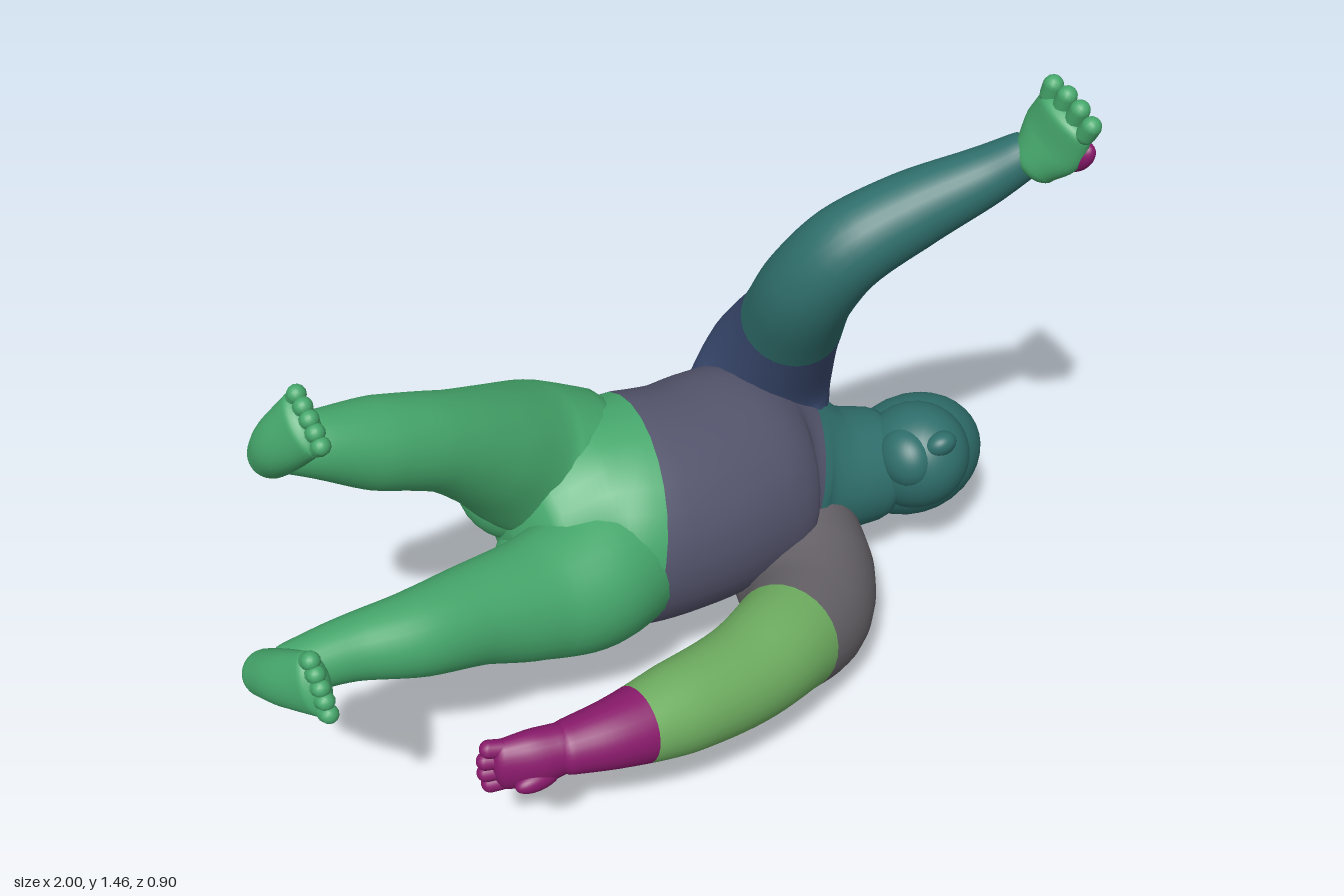
import * as THREE from 'three';

const V = (x, y, z) => new THREE.Vector3(x, y, z);
const material = (color) => new THREE.MeshStandardMaterial({ color, roughness: 0.8 });
const GREEN = material(0x46a86c), LIME = material(0x70b062), TEAL = material(0x2f6f6c), PURPLE = material(0x8a1a6c);
const SLATE = material(0x56566f), NAVY = material(0x3a4a70), TAUPE = material(0x68646a);
const ACROSS = V(0, 0.707, -0.707); // body's width direction

// Skin a run of elliptical stations [x, y, z, halfWidth, halfDepth] with rounded
// ends. bands = [[name, material, endFraction], ...] splits it into coloured parts.
function loft(group, stations, across, bands, capScale = 0.7) {
  const SEG = 28, STEP = 6, CAP = 5;
  const curve = new THREE.CatmullRomCurve3(stations.map((s) => V(s[0], s[1], s[2])));
  const sizes = new THREE.CatmullRomCurve3(stations.map((s) => V(s[3], s[4] ?? s[3], 0)));
  const n = (stations.length - 1) * STEP;
  const rings = [];
  const addRing = (t, scale, push) => {
    const tangent = curve.getTangent(t);
    const u = across.clone().addScaledVector(tangent, -across.dot(tangent)).normalize();
    const v = tangent.clone().cross(u);
    const { x: a, y: b } = sizes.getPoint(t);
    const c = curve.getPoint(t).addScaledVector(tangent, push * Math.min(a, b) * capScale);
    const ring = [];
    for (let j = 0; j < SEG; j++) {
      const q = j / SEG * Math.PI * 2;
      ring.push(c.clone().addScaledVector(u, a * scale * Math.cos(q)).addScaledVector(v, b * scale * Math.sin(q)));
    }
    rings.push(ring);
  };
  for (let i = 0; i < CAP; i++) { const q = i / CAP * Math.PI / 2; addRing(0, Math.sin(q) + 0.001, -Math.cos(q)); }
  for (let i = 0; i <= n; i++) addRing(i / n, 1, 0);
  for (let i = CAP - 1; i >= 0; i--) { const q = i / CAP * Math.PI / 2; addRing(1, Math.sin(q) + 0.001, Math.cos(q)); }

  let start = 0;
  for (const [name, mat, end] of bands) {
    const stop = end === 1 ? rings.length - 1 : CAP + Math.round(end * n);
    const pos = [], index = [];
    for (let i = start; i <= stop; i++) for (const p of rings[i]) pos.push(p.x, p.y, p.z);
    for (let i = 0; i < stop - start; i++) for (let j = 0; j < SEG; j++) {
      const a = i * SEG + j, b = i * SEG + (j + 1) % SEG;
      index.push(a, b, a + SEG, b, b + SEG, a + SEG);
    }
    const g = new THREE.BufferGeometry();
    g.setAttribute('position', new THREE.Float32BufferAttribute(pos, 3));
    g.setIndex(index);
    g.computeVertexNormals();
    const mesh = new THREE.Mesh(g, mat);
    mesh.name = name;
    group.add(mesh);
    start = stop;
  }
}

// Ellipsoid turned so its local y points out of the chest and z across the body
function blob(group, name, mat, p, radii) {
  const mesh = new THREE.Mesh(new THREE.SphereGeometry(1, 32, 20), mat);
  mesh.name = name;
  mesh.position.set(...p);
  mesh.scale.set(...radii);
  mesh.rotation.x = Math.PI / 4;
  group.add(mesh);
}

// A row of fingers or toes fanned across a direction
function digits(group, name, mat, base, dir, across, count, spread, r, len) {
  for (let i = 0; i < count; i++) {
    const k = i / (count - 1) * 2 - 1;
    const l = len * (1 - 0.25 * k * k);
    const mesh = new THREE.Mesh(new THREE.CapsuleGeometry(r, l, 5, 12), mat);
    const d = dir.clone().addScaledVector(across, k * 0.12).normalize();
    mesh.name = name + (i + 1);
    mesh.quaternion.setFromUnitVectors(V(0, 1, 0), d);
    mesh.position.copy(base).addScaledVector(across, k * spread).addScaledVector(d, l / 2);
    group.add(mesh);
  }
}

export function createModel() {
  const model = new THREE.Group();
  const part = (name) => { const g = new THREE.Group(); g.name = name; model.add(g); return g; };

  // Torso from pelvis to neck
  const body = part('body');
  loft(body, [
    [-0.2, 0.45, -0.17, 0.2, 0.18], [-0.1, 0.445, -0.17, 0.245, 0.225], [0.02, 0.42, -0.145, 0.27, 0.255],
    [0.16, 0.4, -0.135, 0.265, 0.25], [0.3, 0.38, -0.15, 0.265, 0.245], [0.42, 0.345, -0.165, 0.255, 0.215],
    [0.52, 0.315, -0.14, 0.2, 0.18], [0.6, 0.295, -0.11, 0.155, 0.155], [0.7, 0.28, -0.085, 0.14, 0.145],
  ], ACROSS, [['pelvis', GREEN, 0.22], ['torso', SLATE, 0.72], ['neck', TEAL, 1]], 0.4);
  blob(body, 'upperBack', SLATE, [0.42, 0.32, -0.2], [0.2, 0.175, 0.26]);
  blob(body, 'upperButtock', GREEN, [-0.13, 0.5, -0.29], [0.19, 0.16, 0.155]);
  blob(body, 'lowerButtock', GREEN, [-0.13, 0.335, -0.15], [0.19, 0.175, 0.155]);

  // Head, with the face turned forward and up
  const head = part('head');
  blob(head, 'skull', TEAL, [0.825, 0.265, -0.07], [0.175, 0.175, 0.147]);
  blob(head, 'face', TEAL, [0.775, 0.325, -0.005], [0.125, 0.15, 0.13]);
  blob(head, 'nose', TEAL, [0.765, 0.42, 0.09], [0.04, 0.04, 0.03]);
  blob(head, 'chin', TEAL, [0.71, 0.37, 0.035], [0.06, 0.075, 0.075]);

  // Legs: thigh to ankle, then foot and toes
  const legs = [
    ['upper', [[-0.08, 0.52, -0.25, 0.185], [-0.18, 0.59, -0.26, 0.172], [-0.3, 0.69, -0.225, 0.137],
      [-0.43, 0.78, -0.195, 0.108], [-0.58, 0.845, -0.19, 0.1], [-0.7, 0.895, -0.19, 0.074], [-0.77, 0.915, -0.2, 0.058]],
    [[-0.79, 0.885, -0.23, 0.052, 0.052], [-0.795, 0.95, -0.17, 0.062, 0.056], [-0.78, 1.04, -0.09, 0.07, 0.036]],
    V(0, 0.75, 0.66), V(0, 0.66, -0.75), V(-0.775, 1.05, -0.08)],
    ['lower', [[-0.06, 0.39, -0.08, 0.19], [-0.18, 0.39, -0.03, 0.17], [-0.32, 0.415, -0.01, 0.14, 0.128],
      [-0.47, 0.455, 0.0, 0.113, 0.108], [-0.62, 0.485, 0.01, 0.095], [-0.77, 0.505, -0.01, 0.07], [-0.9, 0.51, -0.02, 0.056]],
    [[-0.95, 0.515, -0.035, 0.05, 0.05], [-0.945, 0.56, 0.045, 0.06, 0.052], [-0.93, 0.615, 0.15, 0.07, 0.036]],
    V(0, 0.5, 0.866), V(0, 0.866, -0.5), V(-0.93, 0.62, 0.165)],
  ];
  for (const [name, leg, foot, dir, across, toeBase] of legs) {
    const g = part(name + 'Leg');
    loft(g, leg, across, [['leg', GREEN, 1]]);
    loft(g, foot, across, [['foot', GREEN, 1]]);
    digits(g, 'toe', GREEN, toeBase, dir, across, 5, 0.055, 0.02, 0.02);
  }

  // Raised arm, bent at the elbow with an open hand
  const raised = part('raisedArm');
  loft(raised, [
    [0.46, 0.42, -0.25, 0.185], [0.505, 0.55, -0.255, 0.16], [0.475, 0.75, -0.14, 0.122], [0.44, 0.93, -0.03, 0.108],
    [0.48, 1.05, 0.04, 0.1], [0.6, 1.13, 0.1, 0.088], [0.73, 1.21, 0.18, 0.066], [0.79, 1.265, 0.23, 0.052],
  ], V(0, 0.5, -0.866), [['shoulder', NAVY, 0.3], ['arm', TEAL, 1]]);
  const handAcross = V(0, -0.35, 0.937), handDir = V(0, 0.937, 0.35);
  loft(raised, [[0.795, 1.27, 0.265, 0.06, 0.045], [0.81, 1.33, 0.295, 0.085, 0.042], [0.81, 1.39, 0.32, 0.078, 0.034]],
    handAcross, [['palm', GREEN, 1]]);
  digits(raised, 'finger', GREEN, V(0.81, 1.4, 0.325), handDir, handAcross, 4, 0.06, 0.022, 0.035);
  blob(raised, 'thumb', PURPLE, [0.825, 1.31, 0.355], [0.025, 0.05, 0.03]);

  // Lowered arm reaching along the body
  const lowered = part('loweredArm');
  loft(lowered, [
    [0.43, 0.255, -0.17, 0.165], [0.43, 0.19, -0.05, 0.17], [0.39, 0.172, 0.06, 0.168], [0.3, 0.19, 0.18, 0.15],
    [0.15, 0.24, 0.27, 0.127], [0, 0.262, 0.32, 0.115], [-0.2, 0.298, 0.352, 0.102], [-0.35, 0.318, 0.355, 0.078],
    [-0.46, 0.322, 0.335, 0.06],
  ], V(0, 1, 0.01), [['upperArm', TAUPE, 0.47], ['forearm', LIME, 0.84], ['wrist', PURPLE, 1]]);
  loft(lowered, [[-0.47, 0.322, 0.33, 0.058, 0.05], [-0.53, 0.314, 0.312, 0.068, 0.05], [-0.59, 0.31, 0.29, 0.064, 0.04]],
    V(0, 1, 0), [['palm', PURPLE, 1]]);
  digits(lowered, 'finger', PURPLE, V(-0.595, 0.31, 0.287), V(-0.93, 0, -0.37), V(0, 1, 0), 4, 0.046, 0.02, 0.035);
  blob(lowered, 'thumb', PURPLE, [-0.54, 0.28, 0.34], [0.055, 0.028, 0.025]);

  return model;
}
